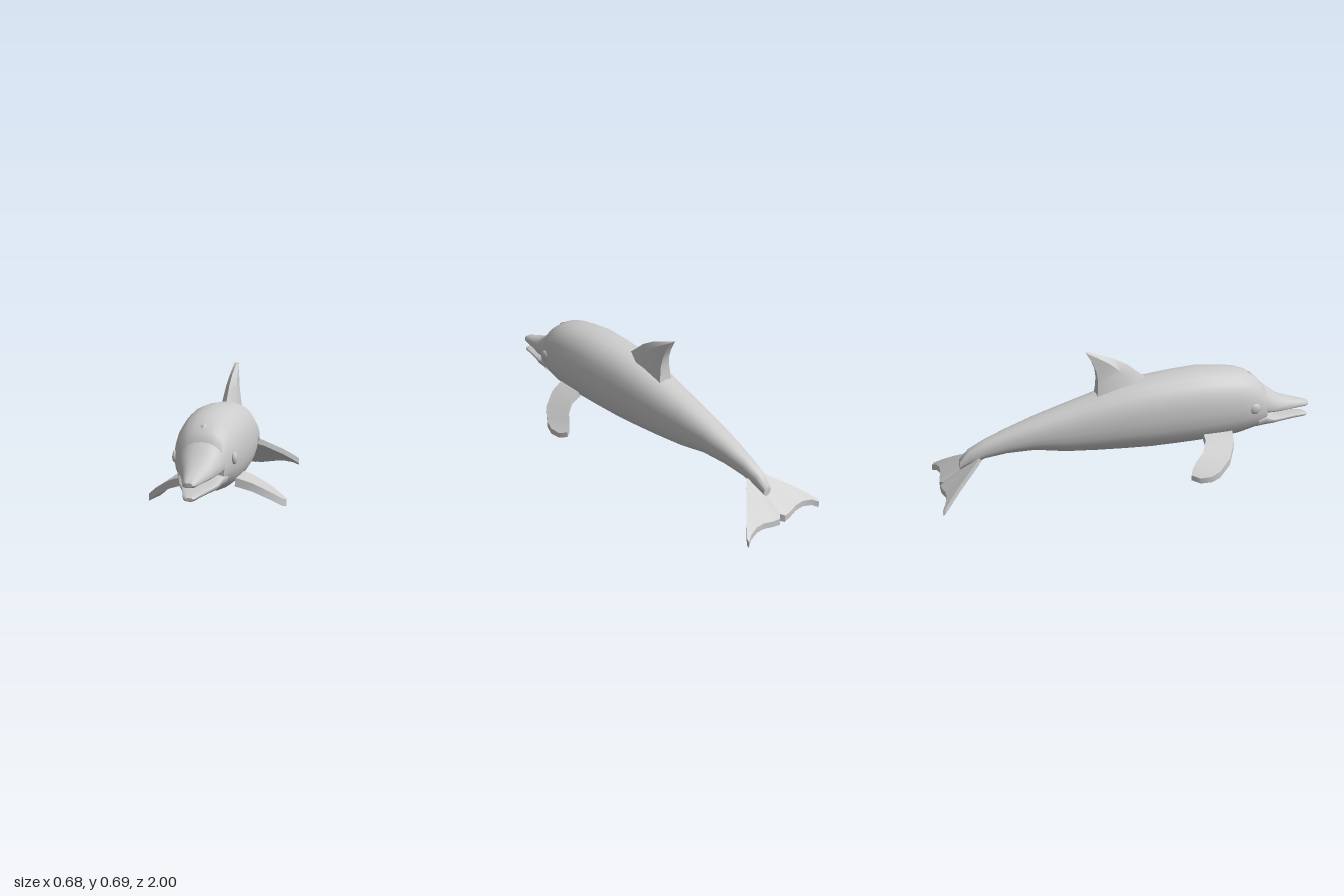
import * as THREE from 'three';
import { toCreasedNormals } from 'three/addons/utils/BufferGeometryUtils.js';

const material = new THREE.MeshStandardMaterial({ color: 0xcccccc });

// Skin over closed rings of points, capped at both ends and always facing outward
function loft(rings, crease) {
  const n = rings[0].length, points = rings.flat(), faces = [];
  for (let i = 0; i < rings.length - 1; i++) {
    for (let j = 0; j < n; j++) {
      const a = i * n + j, b = i * n + (j + 1) % n;
      faces.push([a, b, b + n], [a, b + n, a + n]);
    }
  }
  [0, rings.length - 1].forEach((r, end) => {
    const centre = new THREE.Vector3();
    rings[r].forEach((p) => centre.addScaledVector(p, 1 / n));
    const c = points.push(centre) - 1;
    for (let j = 0; j < n; j++) {
      const a = r * n + j, b = r * n + (j + 1) % n;
      faces.push(end ? [a, b, c] : [b, a, c]);
    }
  });
  // The signed volume tells which way the faces wind
  let volume = 0;
  const cross = new THREE.Vector3();
  for (const [a, b, c] of faces) volume += points[a].dot(cross.crossVectors(points[b], points[c]));
  if (volume < 0) faces.forEach((f) => f.reverse());
  const geometry = new THREE.BufferGeometry().setFromPoints(points);
  geometry.setIndex(faces.flat());
  return toCreasedNormals(geometry, crease);
}

// Rounded section across z: bottom, top, half width, and height of the widest point (0..1)
function section([z, bottom, top, half, widest = 0.48], sides = 24) {
  const mid = bottom + (top - bottom) * widest;
  return Array.from({ length: sides }, (_, i) => {
    const a = (i / sides) * Math.PI * 2, c = Math.cos(a), s = Math.sin(a);
    const round = (v) => Math.sign(v) * Math.abs(v) ** 0.88;
    return new THREE.Vector3(half * round(c), mid + round(s) * (s > 0 ? top - mid : mid - bottom), z);
  });
}

// Fin from stations [leading point, trailing point, half thickness]; nose sharpens the leading edge
function fin(stations, axis, nose, side = 1) {
  const rings = stations.map(([lead, trail, thick]) => {
    const l = new THREE.Vector3(...lead), t = new THREE.Vector3(...trail);
    const shoulder = l.clone().lerp(t, nose);
    const ring = [
      l,
      shoulder.clone().addScaledVector(axis, thick),
      t.clone().addScaledVector(axis, thick),
      t.clone().addScaledVector(axis, -thick),
      shoulder.clone().addScaledVector(axis, -thick),
    ];
    ring.forEach((p) => { p.x *= side; });
    return ring;
  });
  return loft(rings, 0.55);
}

export function createModel() {
  const model = new THREE.Group();
  model.name = 'dolphin';
  const add = (name, geometry) => {
    const mesh = new THREE.Mesh(geometry, material);
    mesh.name = name;
    model.add(mesh);
    return mesh;
  };
  const X = new THREE.Vector3(1, 0, 0), Y = new THREE.Vector3(0, 1, 0);

  // Body from the back of the mouth to the tail stock
  add('body', loft([
    [0.73, 0.183, 0.405, 0.108],
    [0.69, 0.176, 0.45, 0.126],
    [0.64, 0.166, 0.487, 0.143],
    [0.58, 0.152, 0.51, 0.152],
    [0.5, 0.145, 0.523, 0.159],
    [0.37, 0.139, 0.535, 0.165],
    [0.24, 0.136, 0.528, 0.161],
    [0.1, 0.134, 0.515, 0.152],
    [-0.04, 0.14, 0.49, 0.14],
    [-0.18, 0.147, 0.45, 0.122],
    [-0.34, 0.158, 0.405, 0.098],
    [-0.5, 0.186, 0.355, 0.077],
    [-0.64, 0.184, 0.306, 0.058],
    [-0.75, 0.168, 0.262, 0.042],
    [-0.83, 0.14, 0.222, 0.032],
    [-0.88, 0.118, 0.17, 0.022],
  ].map((s) => section(s)), 0.9));

  // Beak, with a nearly flat underside
  add('upperJaw', loft([
    [1.0, 0.253, 0.272, 0.018, 0.4],
    [0.985, 0.248, 0.281, 0.03, 0.3],
    [0.94, 0.249, 0.293, 0.042, 0.25],
    [0.88, 0.25, 0.312, 0.057, 0.22],
    [0.82, 0.252, 0.334, 0.076, 0.2],
    [0.77, 0.257, 0.372, 0.096, 0.2],
    [0.72, 0.262, 0.414, 0.112, 0.2],
    [0.66, 0.262, 0.45, 0.12, 0.2],
  ].map((s) => section(s)), 0.9));

  // Jaw rising to the corner of the mouth
  add('lowerJaw', loft([
    [0.995, 0.192, 0.206, 0.018, 0.6],
    [0.98, 0.187, 0.211, 0.029, 0.7],
    [0.92, 0.186, 0.215, 0.043, 0.8],
    [0.84, 0.185, 0.222, 0.066, 0.8],
    [0.78, 0.184, 0.232, 0.09, 0.8],
    [0.73, 0.183, 0.266, 0.108, 0.75],
    [0.68, 0.18, 0.27, 0.118, 0.75],
  ].map((s) => section(s)), 0.9));

  // Dorsal fin swept backward
  add('dorsalFin', fin([
    [[0, 0.5, 0.11], [0, 0.43, -0.172], 0.04],
    [[0, 0.543, 0.055], [0, 0.48, -0.166], 0.034],
    [[0, 0.59, 0.0], [0, 0.53, -0.163], 0.028],
    [[0, 0.632, -0.075], [0, 0.58, -0.17], 0.022],
    [[0, 0.662, -0.155], [0, 0.63, -0.19], 0.017],
    [[0, 0.685, -0.222], [0, 0.672, -0.214], 0.013],
  ], X, 0.3));

  const flipperStations = [
    [[0.12, 0.19, 0.53], [0.12, 0.2, 0.37], 0.021],
    [[0.2, 0.163, 0.512], [0.18, 0.178, 0.365], 0.02],
    [[0.28, 0.115, 0.465], [0.23, 0.142, 0.335], 0.019],
    [[0.328, 0.072, 0.395], [0.265, 0.108, 0.285], 0.018],
    [[0.342, 0.06, 0.345], [0.285, 0.086, 0.262], 0.016],
    [[0.335, 0.056, 0.29], [0.308, 0.066, 0.25], 0.014],
  ];
  const flukeStations = [
    [[0, 0.18, -0.76], [0, 0.037, -0.965], 0.02],
    [[0.02, 0.178, -0.77], [0.018, 0.03, -0.985], 0.018],
    [[0.06, 0.16, -0.8], [0.06, 0.034, -0.98], 0.016],
    [[0.11, 0.128, -0.85], [0.11, 0.042, -0.97], 0.016],
    [[0.16, 0.096, -0.9], [0.16, 0.044, -0.97], 0.016],
    [[0.21, 0.058, -0.95], [0.21, 0.034, -0.982], 0.016],
    [[0.245, 0.028, -0.988], [0.245, 0.016, -1.0], 0.016],
  ];

  // Paired parts
  for (const [side, label] of [[1, 'left'], [-1, 'right']]) {
    add(label + 'Flipper', fin(flipperStations, Y, 0, side));
    add(label + 'Fluke', fin(flukeStations, Y, 0, side));
    const eye = add(label + 'Eye', new THREE.SphereGeometry(1, 8, 6));
    eye.scale.set(0.014, 0.03, 0.032);
    eye.position.set(side * 0.138, 0.325, 0.645);
  }

  // Shallow diamond on top of the head
  const blowhole = add('blowhole', toCreasedNormals(new THREE.OctahedronGeometry(1), 0.3));
  blowhole.scale.set(0.018, 0.006, 0.022);
  blowhole.position.set(0, 0.472, 0.662);
  blowhole.rotation.x = 0.65;

  return model;
}
